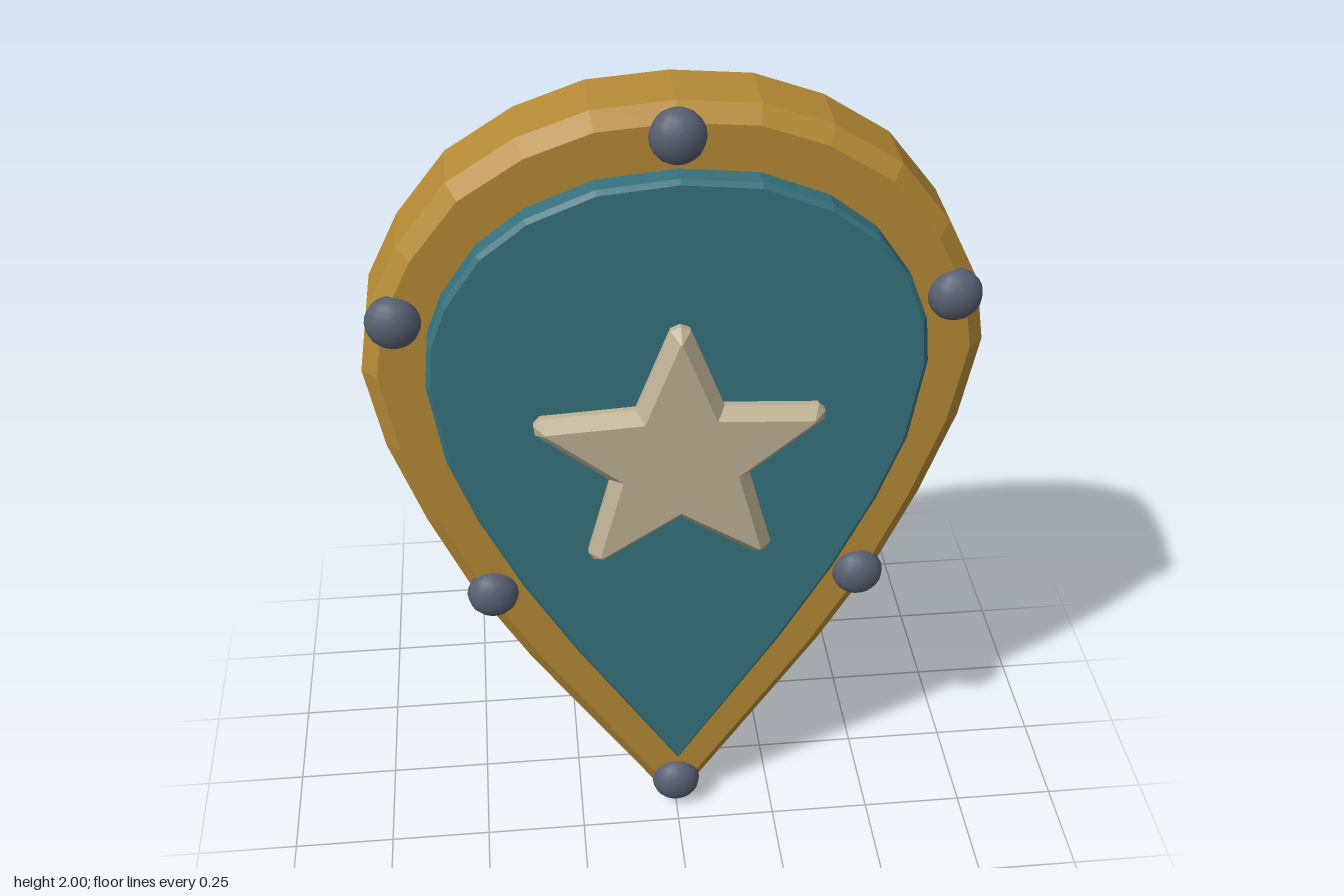
import * as THREE from 'three';

const mat = (name, color) => Object.assign(new THREE.MeshStandardMaterial({ color }), { name });

// Closed outline from its right half (top to bottom, ends on the centre line)
function mirrored(half) {
  const left = half.slice(1, -1).reverse().map(([x, y]) => [-x, y]);
  return [...half, ...left].map(([x, y]) => new THREE.Vector2(x, y));
}

// Plate between two depths with a single chamfer that stays inside the outline
function plate(name, points, back, front, chamfer, thickness, material) {
  const geo = new THREE.ExtrudeGeometry(new THREE.Shape(points), {
    depth: front - back - 2 * thickness,
    bevelEnabled: true, bevelSegments: 1,
    bevelSize: chamfer, bevelOffset: -chamfer, bevelThickness: thickness,
  });
  geo.translate(0, 0, back + thickness);
  const mesh = new THREE.Mesh(geo, material);
  mesh.name = name;
  return mesh;
}

// Half-ellipse path of the grip, in the side plane
class GripCurve extends THREE.Curve {
  getPoint(t, target = new THREE.Vector3()) {
    const a = Math.PI * t;
    return target.set(0, 1.175 + 0.3 * Math.cos(a), -0.222 * Math.sin(a));
  }
}

export function createModel() {
  const group = new THREE.Group();
  group.name = 'shield';
  const gold = mat('gold', 0xb58a35);
  const teal = mat('teal', 0x36727d);
  const ivory = mat('ivory', 0xbdb093);
  const steel = mat('steel', 0x565e70);
  const leather = mat('dark leather', 0x35263a);

  // Teardrop body
  const body = mirrored([
    [0, 2], [0.18, 1.985], [0.335, 1.93], [0.485, 1.835], [0.6, 1.69], [0.675, 1.54],
    [0.7, 1.385], [0.663, 1.18], [0.587, 0.96], [0.49, 0.735], [0.362, 0.51], [0.035, 0.012], [0, 0],
  ]);
  group.add(plate('body', body, -0.045, 0.178, 0.035, 0.035, gold));

  // Raised front panel
  const panel = mirrored([
    [0, 1.862], [0.175, 1.845], [0.325, 1.785], [0.43, 1.705], [0.51, 1.59], [0.547, 1.495],
    [0.558, 1.385], [0.527, 1.18], [0.466, 1.01], [0.372, 0.81], [0.25, 0.595], [0, 0.203],
  ]);
  group.add(plate('frontPanel', panel, 0.14, 0.235, 0.01, 0.01, teal));

  // Star emblem with blunted tips
  const star = [];
  for (let i = 0; i < 5; i++) {
    const a = (i * 2 * Math.PI) / 5;
    const n = a + Math.PI / 5;
    const at = (r, ang) => new THREE.Vector2(-r * Math.sin(ang), 1.175 + r * Math.cos(ang));
    star.push(at(0.336, a - 0.065), at(0.345, a), at(0.336, a + 0.065), at(0.168, n));
  }
  group.add(plate('star', star, 0.19, 0.28, 0.025, 0.03, ivory));

  // Rivets around the rim
  const rivetGeo = new THREE.SphereGeometry(0.062, 14, 10).scale(1, 1, 0.76);
  const spots = [[0, 1.935], [0.618, 1.525], [-0.618, 1.525], [0.445, 0.752], [-0.445, 0.752], [0, 0.078]];
  for (const [x, y] of spots) {
    const rivet = new THREE.Mesh(rivetGeo, steel);
    rivet.name = 'rivet';
    rivet.position.set(x, y, 0.177);
    group.add(rivet);
  }

  // Faceted grip on the back
  const gripGeo = new THREE.TubeGeometry(new GripCurve(), 14, 0.056, 8, false).toNonIndexed();
  gripGeo.computeVertexNormals();
  const grip = new THREE.Mesh(gripGeo, leather);
  grip.name = 'grip';
  group.add(grip);

  return group;
}
